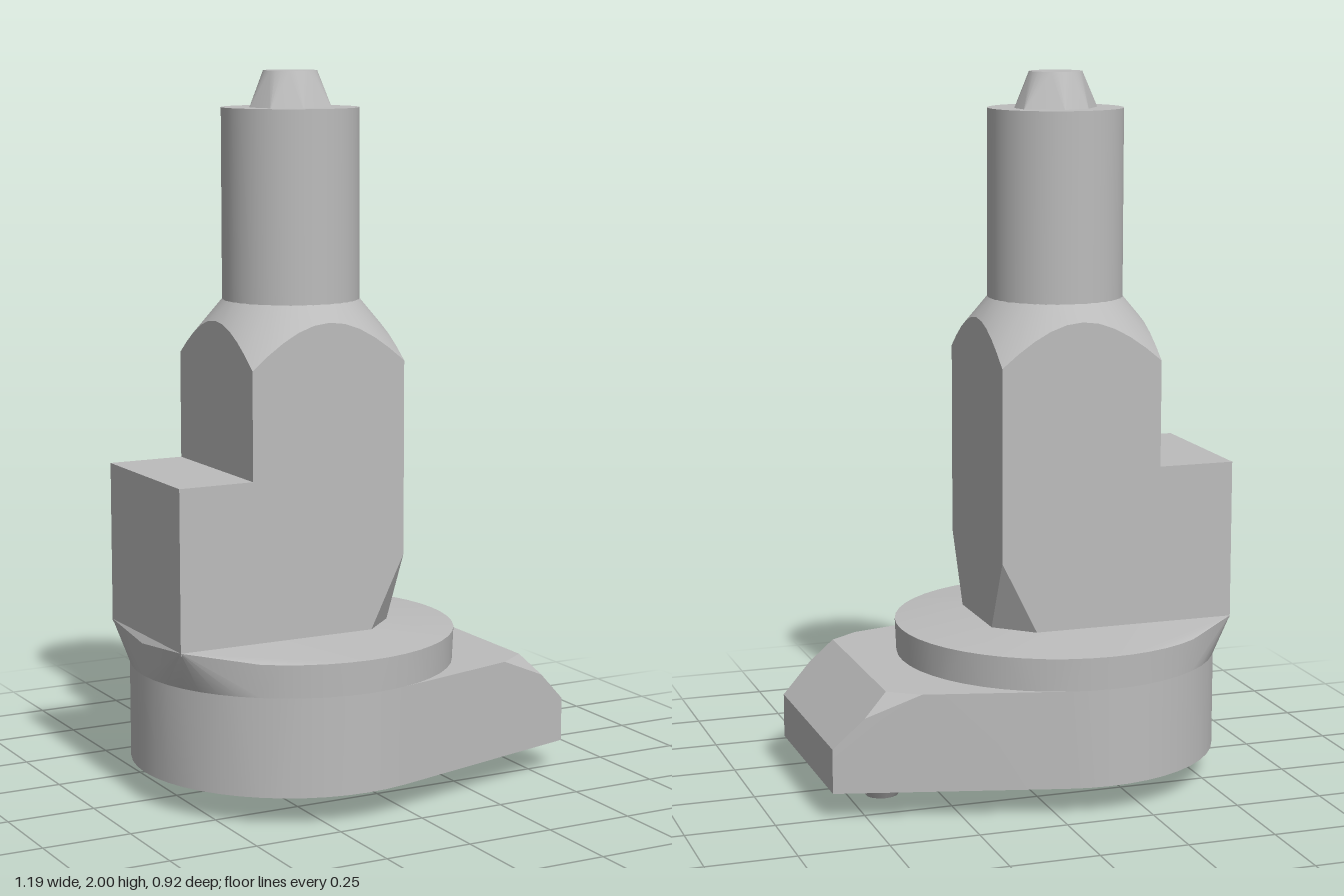
import * as THREE from 'three';
import { ConvexGeometry } from 'three/addons/geometries/ConvexGeometry.js';
import { toCreasedNormals } from 'three/addons/utils/BufferGeometryUtils.js';

const CX = -0.138; // axis of the shaft
const v = (x, y, z) => new THREE.Vector3(x, y, z);
const both = (x, y, z) => [v(x, y, z), v(x, y, -z)];

function ring(cx, y, r, n = 48) {
  return Array.from({ length: n }, (_, i) => {
    const a = (i / n) * Math.PI * 2;
    return v(cx + Math.cos(a) * r, y, Math.sin(a) * r);
  });
}

export function createModel() {
  const group = new THREE.Group();
  const grey = new THREE.MeshStandardMaterial({ color: 0xbcbcbc });
  grey.name = 'plain grey';

  const add = (name, geometry) => {
    const mesh = new THREE.Mesh(geometry, grey);
    mesh.name = name;
    group.add(mesh);
  };
  const addHull = (name, points, crease = 0.4) =>
    add(name, toCreasedNormals(new ConvexGeometry(points), crease));

  // Teardrop base with a sloped nose and clipped nose corners
  addHull('base', [
    ...ring(-0.14, 0.08, 0.455), ...ring(-0.14, 0.355, 0.455),
    ...both(0.36, 0.355, 0.34), ...both(0.445, 0.355, 0.28),
    ...both(0.51, 0.29, 0.298), ...both(0.595, 0.205, 0.275),
    ...both(0.595, 0.08, 0.275),
  ], 0.3);

  // Collar: round disc drawn out to the corners of the stepped block
  addHull('collar', [
    ...ring(-0.14, 0.355, 0.455), ...ring(-0.14, 0.447, 0.459),
    ...both(-0.588, 0.467, 0.228), ...both(0.095, 0.467, 0.13),
    ...both(-0.01, 0.467, 0.228),
  ], 0.4);

  // Square body: conical shoulder on top, two clipped corners at the foot
  const hx = 0.2325, hz = 0.228;
  const body = [
    ...both(CX - hx, 0.46, hz), ...both(CX + hx, 0.67, hz),
    ...both(-0.01, 0.46, hz), ...both(CX + hx, 0.46, 0.13),
    ...ring(CX, 1.375, 0.19, 32),
  ];
  const shoulder = (x, z) => both(CX + x, 1.375 - 1.2 * (Math.hypot(x, z) - 0.19), z);
  for (let i = 0; i <= 10; i++) {
    const t = -1 + i / 5;
    body.push(...shoulder(t * hx, hz), ...shoulder(hx, t * hz), ...shoulder(-hx, t * hz));
  }
  addHull('body', body, 0.35);

  // Side step
  const step = new THREE.BoxGeometry(0.24, 0.453, hz * 2);
  step.translate(-0.468, 0.6865, 0);
  add('sideStep', step);

  // Round shaft
  const shaft = new THREE.CylinderGeometry(0.19, 0.19, 0.53, 40);
  shaft.translate(CX, 1.635, 0);
  add('shaft', shaft);

  // Faceted tip with a round top
  const foot = [[-0.26, -0.01], [-0.2, -0.1], [-0.12, -0.13], [-0.02, -0.07],
    [-0.015, 0], [-0.06, 0.1], [-0.16, 0.125], [-0.24, 0.08]];
  addHull('tip', [
    ...foot.map(([x, z]) => v(x, 1.895, z)),
    ...ring(CX, 2.0, 0.074, 24),
  ], 0.3);

  // Oblong locating key under the nose
  const oblong = (y, w, l) => ring(0, y, w, 16).map(
    (p) => v(p.x + 0.405, y, p.z + Math.sign(Math.round(p.z * 1e4)) * (l - w)));
  addHull('locatingKey', [
    ...oblong(0.085, 0.066, 0.147), ...oblong(0.02, 0.061, 0.143), ...oblong(0, 0.048, 0.13),
  ], 0.45);

  return group;
}
